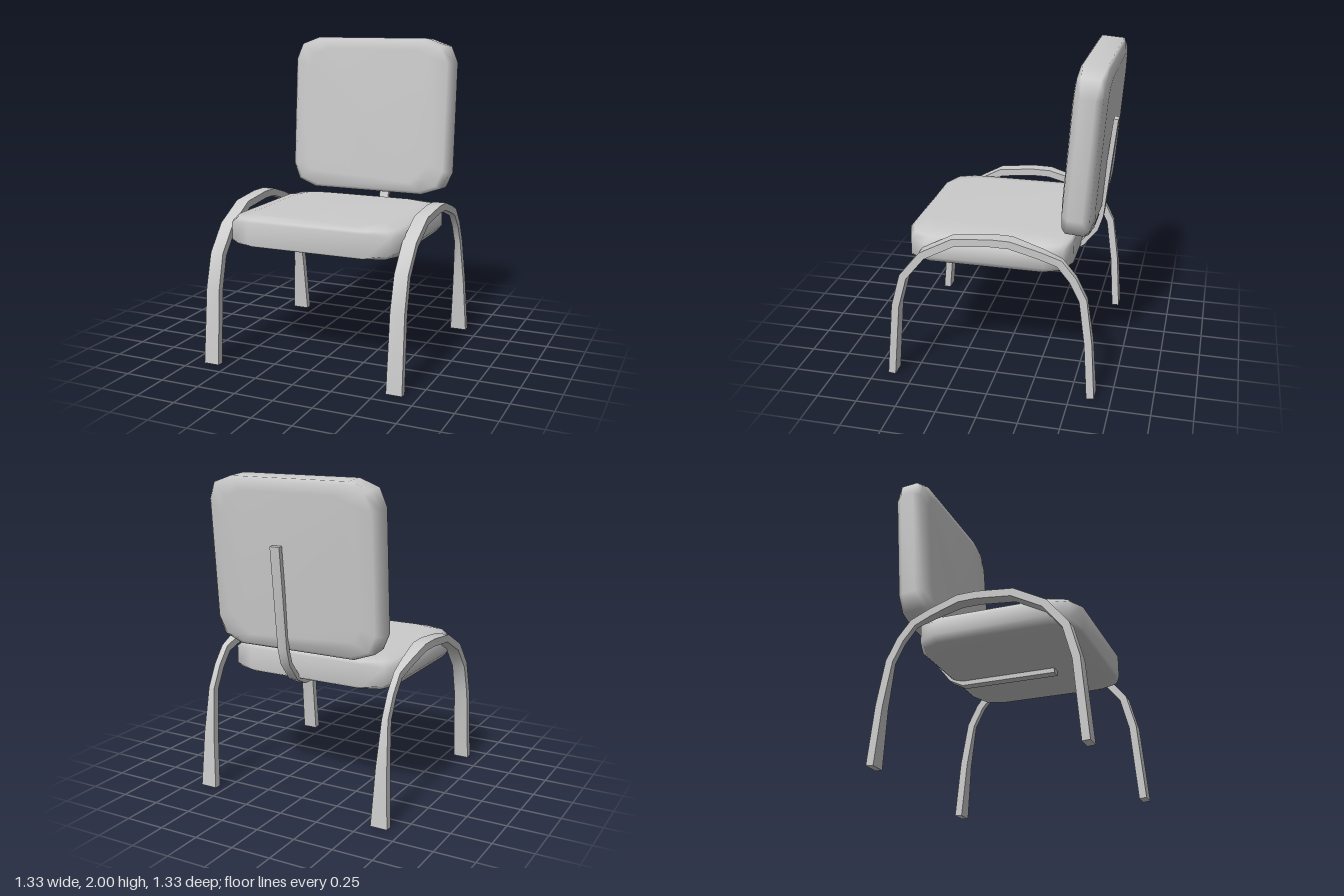
import * as THREE from 'three';
import { toCreasedNormals } from 'three/addons/utils/BufferGeometryUtils.js';

const material = new THREE.MeshStandardMaterial({ color: 0xcccccc });

// Skin a list of equal-length rings and close both ends
function loft(rings) {
  const n = rings[0].length, last = (rings.length - 1) * n, index = [];
  for (let i = 0; i < rings.length - 1; i++) {
    for (let j = 0; j < n; j++) {
      const a = i * n + j, b = i * n + (j + 1) % n;
      index.push(a, b, b + n, a, b + n, a + n);
    }
  }
  for (let j = 1; j < n - 1; j++) {
    index.push(0, j + 1, j, last, last + j, last + j + 1);
  }
  const geometry = new THREE.BufferGeometry();
  geometry.setAttribute('position', new THREE.Float32BufferAttribute(rings.flat(2), 3));
  geometry.setIndex(index);
  geometry.computeVertexNormals();
  return geometry;
}

// Padded slab with clipped corners and softened rims, lying flat
function cushionGeometry() {
  const corner = [[0.39, 0.515, 0.07], [0.52, 0.47, 0.055], [0.57, 0.365, 0.042]];
  const back = corner.map(([x, z, y]) => [x, -z, y]).reverse();
  const half = [...corner, ...back];
  const outline = [...half, ...half.map(([x, z, y]) => [-x, z, y]).reverse()];
  const ring = (sx, sz, height, side) =>
    outline.map(([x, z, y]) => [x * sx, side * (height ?? y), z * sz]);
  return loft([
    ring(0.78, 0.85, 0.1, -1),
    ring(0.94, 0.965, 0.083, -1),
    ring(1, 1, null, -1),
    ring(1, 1, null, 1),
    ring(0.94, 0.965, 0.083, 1),
    ring(0.78, 0.85, 0.1, 1),
  ]);
}

// Flat bar following [z, y, halfWidth] points, mitred at each bend
function barGeometry(path, thickness) {
  const dir = (a, b) => new THREE.Vector2(b[0] - a[0], b[1] - a[1]).normalize();
  const rings = path.map((p, i) => {
    const before = dir(path[Math.max(i - 1, 0)], path[Math.max(i, 1)]);
    const after = i < path.length - 1 ? dir(p, path[i + 1]) : before;
    const t = before.clone().add(after).normalize();
    const h = thickness / 2 / t.dot(before);
    const nz = t.y * h, ny = -t.x * h, [z, y, w] = p;
    return [
      [w, y + ny, z + nz], [w, y - ny, z - nz],
      [-w, y - ny, z - nz], [-w, y + ny, z + nz],
    ];
  });
  return toCreasedNormals(loft(rings), 0.6);
}

export function createModel() {
  const group = new THREE.Group();
  const add = (name, geometry, x, y, z) => {
    const mesh = new THREE.Mesh(geometry, material);
    mesh.name = name;
    mesh.position.set(x, y, z);
    group.add(mesh);
    return mesh;
  };

  // Seat and tilted backrest share the same padding shape
  const cushion = cushionGeometry();
  add('seat', cushion, 0, 0.84, 0.055);
  add('backrest', cushion, 0, 1.48, -0.515).rotation.x = Math.PI / 2 - 0.075;

  // Arched side frames: front foot, over the seat edge, down to the flared rear foot
  const arch = barGeometry([
    [0.642, 0, 0.05], [0.6, 0.48, 0.045], [0.545, 0.685, 0.043],
    [0.42, 0.84, 0.043], [0.225, 0.945, 0.043], [0, 0.968, 0.043],
    [-0.12, 0.966, 0.042], [-0.3, 0.912, 0.03], [-0.415, 0.868, 0.02],
    [-0.495, 0.77, 0.02], [-0.56, 0.64, 0.02], [-0.6, 0.36, 0.036],
    [-0.625, 0, 0.054],
  ], 0.047);
  add('leftLegArch', arch, 0.61, 0, 0);
  add('rightLegArch', arch, -0.61, 0, 0);

  // Bent bar carrying the backrest from under the seat
  const w = 0.032;
  add('backSupport', barGeometry([
    [0.245, 0.725, w], [-0.38, 0.725, w], [-0.465, 0.768, w],
    [-0.55, 0.875, w], [-0.58, 0.97, w], [-0.648, 1.6, w],
  ], 0.03), 0.068, 0, 0);

  return group;
}
